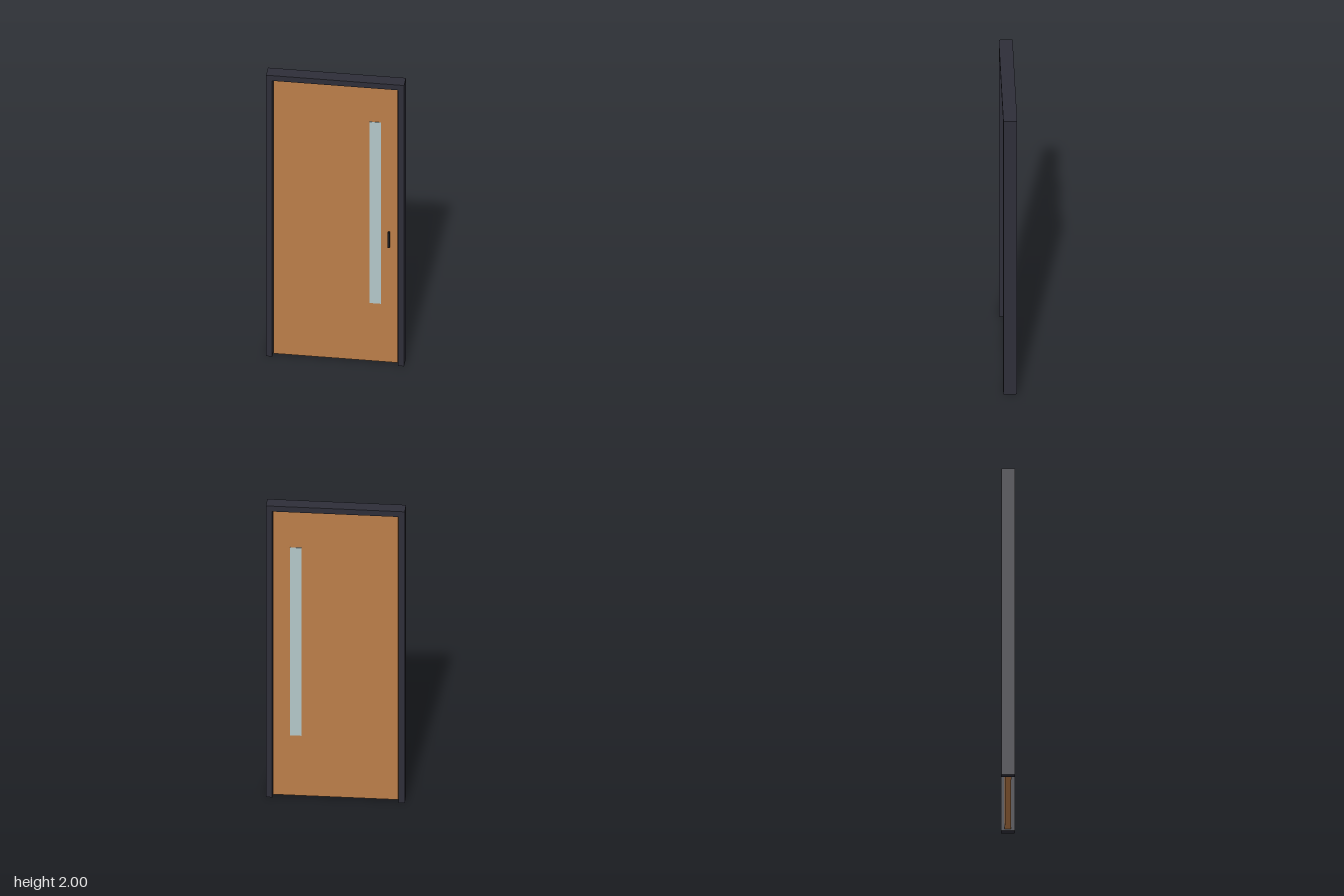
import * as THREE from 'three';

const mat = (name, color) => {
  const m = new THREE.MeshStandardMaterial({ color });
  m.name = name;
  return m;
};

export function createModel() {
  const door = new THREE.Group();
  door.name = 'door';

  const frameMat = mat('charcoal frame', 0x2e2e38);
  const woodMat = mat('warm wood', 0xbb7d48);
  const glassMat = mat('pale glass', 0xb2c6c8);
  const handleMat = mat('black metal', 0x1c1c1f);

  const add = (name, geometry, material, x = 0, y = 0, z = 0) => {
    const mesh = new THREE.Mesh(geometry, material);
    mesh.name = name;
    mesh.position.set(x, y, z);
    door.add(mesh);
    return mesh;
  };
  const box = (w, h, d) => new THREE.BoxGeometry(w, h, d);

  // Frame: one inverted U, open at the floor
  const W = 0.413, inner = 0.376, H = 2, head = 1.963, depth = 0.082;
  const outline = new THREE.Shape([
    [-W, 0], [-inner, 0], [-inner, head], [inner, head],
    [inner, 0], [W, 0], [W, H], [-W, H],
  ].map(([x, y]) => new THREE.Vector2(x, y)));
  const frame = new THREE.ExtrudeGeometry(outline, { depth, bevelEnabled: false });
  add('frame', frame, frameMat, 0, 0, -depth / 2);

  // Leaf, set back from both frame faces with a narrow gap all round
  const thick = 0.037, bottom = 0.008, top = 1.959;
  add('leaf', box(0.744, top - bottom, thick), woodMat, 0, (top + bottom) / 2);

  // Tall glass strip, just proud of the leaf on both sides
  add('glassStrip', box(0.07, 1.29, thick + 0.006), glassMat, 0.238, 1.065);

  // Pull handle on the front only: bar on two short posts
  const hx = 0.32, hy = 0.887, face = thick / 2;
  add('handleBar', box(0.012, 0.106, 0.008), handleMat, hx, hy, face + 0.016);
  for (const s of [-1, 1]) {
    add('handlePost', box(0.012, 0.012, 0.013), handleMat, hx, hy + s * 0.045, face + 0.0062);
  }

  return door;
}
